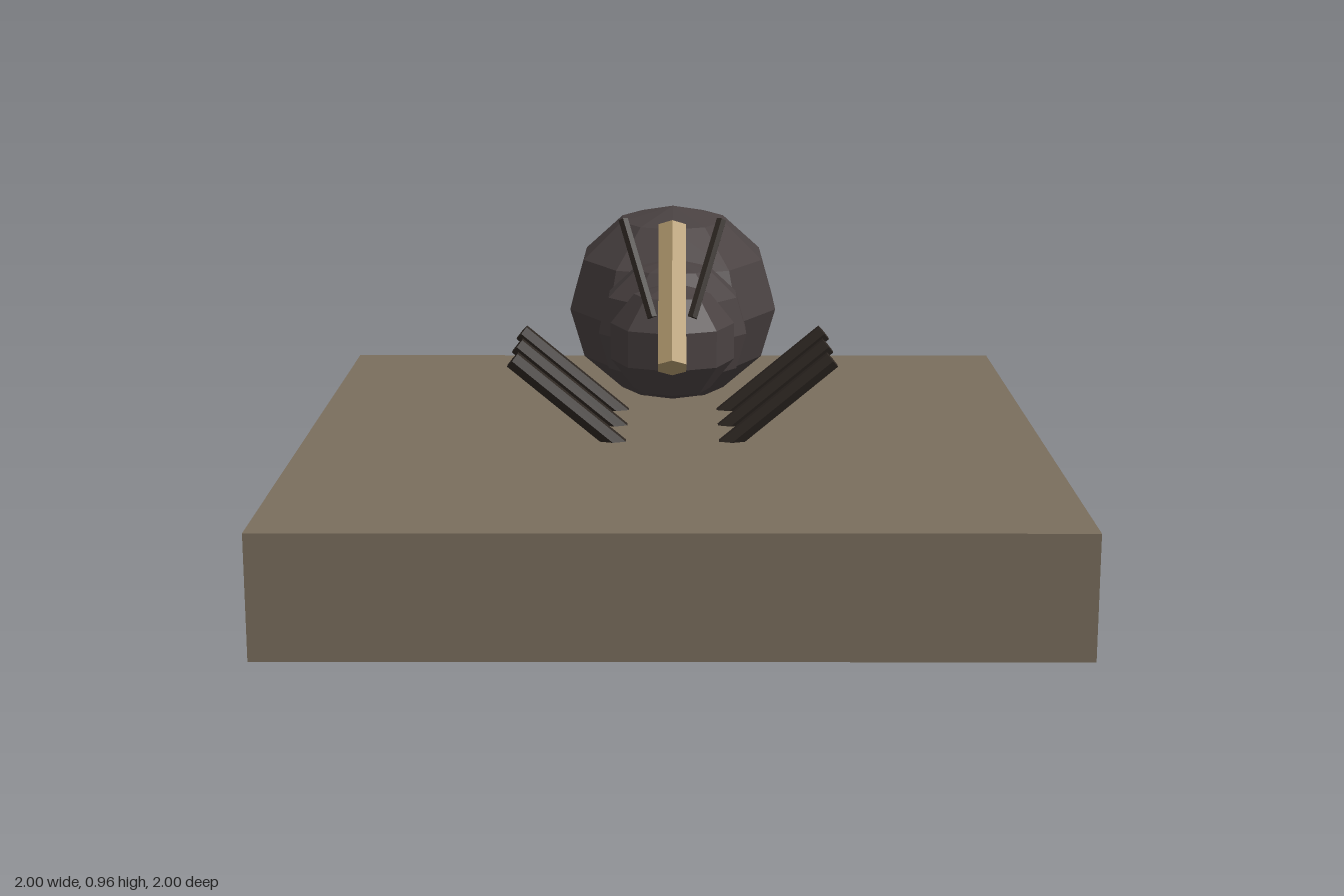
import * as THREE from 'three';

const flat = (color) => new THREE.MeshStandardMaterial({ color, flatShading: true });

export function createModel() {
  const model = new THREE.Group();
  const soil = flat(0x7a6e5d);
  const shell = flat(0x4a4242);
  const limb = flat(0x2e2722);
  const wood = flat(0xb59c70);

  const add = (name, geometry, material) => {
    const mesh = new THREE.Mesh(geometry, material);
    mesh.name = name;
    model.add(mesh);
    return mesh;
  };

  // Faceted ellipsoid with a vertex line facing front and back
  const blob = (name, pos, radii, sides, rings) => {
    const g = new THREE.SphereGeometry(1, sides, rings);
    g.rotateY(Math.PI / 2).scale(...radii);
    add(name, g, shell).position.set(...pos);
  };

  // Six-sided rod between two points
  const rod = (name, from, to, radius, material) => {
    const a = new THREE.Vector3(...from);
    const b = new THREE.Vector3(...to);
    const dir = b.clone().sub(a);
    const mesh = add(name, new THREE.CylinderGeometry(radius, radius, dir.length(), 6), material);
    mesh.position.copy(a).add(b).multiplyScalar(0.5);
    mesh.quaternion.setFromUnitVectors(new THREE.Vector3(0, 1, 0), dir.normalize());
  };

  // Ground slab
  add('groundSlab', new THREE.BoxGeometry(2, 0.315, 2), soil).position.y = 0.1575;

  // Body
  blob('abdomen', [0, 0.6, -0.42], [0.308, 0.28, 0.42], 10, 6);
  blob('thorax', [0, 0.6, 0], [0.21, 0.195, 0.2], 10, 6);
  blob('head', [0, 0.64, 0.353], [0.167, 0.152, 0.167], 8, 5);

  // Legs and antennae, mirrored
  for (const [side, s] of [['left', 1], ['right', -1]]) {
    [0.115, -0.07, -0.255].forEach((z, i) => {
      rod(`${side}Leg${i + 1}`, [s * 0.05, 0.222, z], [s * 0.43, 0.54, z], 0.026, limb);
    });
    rod(`${side}Antenna`, [s * 0.05, 0.72, 0.46], [s * 0.125, 0.95, 0.33], 0.014, limb);
  }

  // Carried twig
  rod('twig', [0, 0.63, 0.637], [0, 0.938, 0.387], 0.04, wood);

  return model;
}
